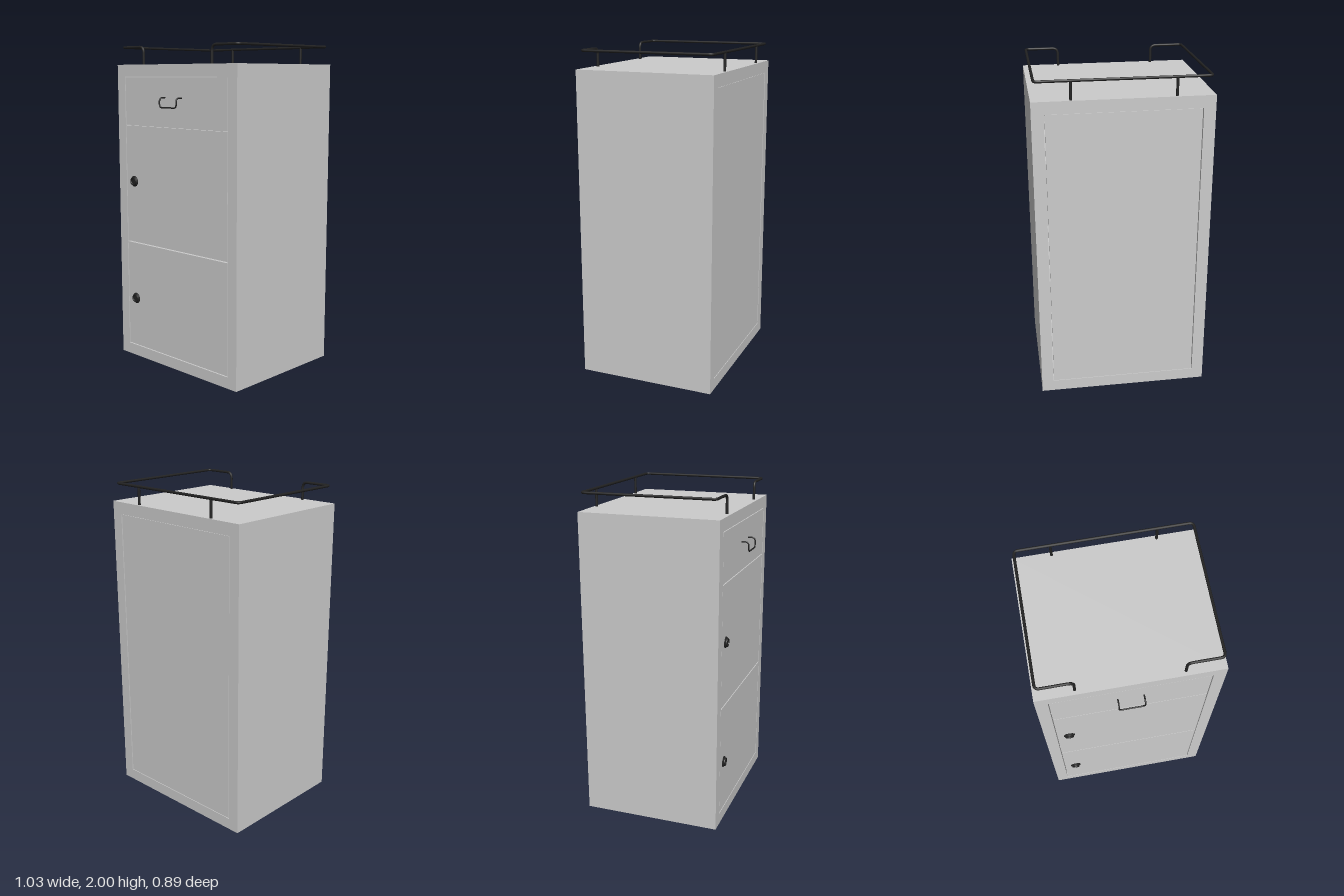
import * as THREE from 'three';

const V = (x, y, z) => new THREE.Vector3(x, y, z);
const grey = new THREE.MeshStandardMaterial({ color: 0xcccccc });
const dark = new THREE.MeshStandardMaterial({ color: 0x222222 });
const darkFlat = new THREE.MeshStandardMaterial({ color: 0x222222, flatShading: true });

function add(parent, name, geometry, material, x = 0, y = 0, z = 0) {
  const mesh = new THREE.Mesh(geometry, material);
  mesh.name = name;
  mesh.position.set(x, y, z);
  parent.add(mesh);
  return mesh;
}

// Round wire through corner points, each corner softened by its bend radius
function bentWire(points, bends, radius, segments) {
  const path = new THREE.CurvePath();
  let from = points[0];
  for (let i = 1; i < points.length - 1; i++) {
    const p = points[i], r = bends[i - 1];
    const a = p.clone().add(points[i - 1].clone().sub(p).setLength(r));
    const b = p.clone().add(points[i + 1].clone().sub(p).setLength(r));
    path.add(new THREE.LineCurve3(from, a));
    path.add(new THREE.QuadraticBezierCurve3(a, p, b));
    from = b;
  }
  path.add(new THREE.LineCurve3(from, points[points.length - 1]));
  return new THREE.TubeGeometry(path, segments, radius, 10);
}

export function createModel() {
  const model = new THREE.Group();
  model.name = 'bedsideCabinet';

  const W = 0.517, H = 1.885, BACK = -0.447, FRONT = 0.398;
  const inX = 0.447, inLow = 0.07, inHigh = 1.812, gap = 0.005;

  // Cabinet shell, open at front and back
  const outline = new THREE.Shape([
    new THREE.Vector2(-W, 0), new THREE.Vector2(W, 0),
    new THREE.Vector2(W, H), new THREE.Vector2(-W, H)]);
  outline.holes.push(new THREE.Path([
    new THREE.Vector2(-inX, inLow), new THREE.Vector2(-inX, inHigh),
    new THREE.Vector2(inX, inHigh), new THREE.Vector2(inX, inLow)]));
  add(model, 'cabinetShell',
    new THREE.ExtrudeGeometry(outline, { depth: FRONT - BACK, bevelEnabled: false }),
    grey, 0, 0, BACK);

  // Panels set into the openings with narrow gaps
  const panel = (name, low, high, z) => add(model, name,
    new THREE.BoxGeometry(2 * (inX - gap), high - low, 0.02), grey, 0, (low + high) / 2, z);
  panel('lowerDoor', inLow + gap, 0.756, FRONT - 0.011);
  panel('upperDoor', 0.764, 1.507, FRONT - 0.011);
  panel('drawerFront', 1.513, inHigh - gap, FRONT - 0.011);
  panel('backPanel', inLow + 0.002, inHigh - 0.002, BACK + 0.012);

  // Shelves closing off the inside behind the door gaps
  for (const y of [0.76, 1.51]) {
    add(model, 'shelf', new THREE.BoxGeometry(2 * inX, 0.02, 0.78), grey, 0, y, -0.03);
  }

  // Drawer handle
  const hx = 0.073, hz = 0.443;
  add(model, 'drawerHandle', bentWire([
    V(-hx, 1.688, FRONT), V(-hx, 1.688, hz), V(-hx, 1.63, hz),
    V(hx, 1.63, hz), V(hx, 1.688, hz), V(hx, 1.688, FRONT)],
  [0.025, 0.022, 0.022, 0.025], 0.0045, 100), dark);

  // Round door locks with a sunken slotted face
  const lockProfile = [[0.034, 0], [0.034, 0.003], [0.026, 0.009], [0.025, 0.015],
    [0.018, 0.015], [0.016, 0.011], [0, 0.011]].map(([r, h]) => new THREE.Vector2(r, h));
  for (const [name, y] of [['lowerLock', 0.39], ['upperLock', 1.155]]) {
    const lock = new THREE.Group();
    lock.name = name;
    lock.position.set(-0.37, y, FRONT);
    add(lock, 'lockBody', new THREE.LatheGeometry(lockProfile, 24), darkFlat).rotation.x = Math.PI / 2;
    add(lock, 'lockBar', new THREE.BoxGeometry(0.026, 0.005, 0.004), darkFlat, 0, 0, 0.012);
    model.add(lock);
  }

  // Top guard rail: one bent wire open at the front
  const railR = 0.008, railY = 2 - railR, rx = 0.496, rb = -0.43, rf = 0.37, px = 0.296;
  add(model, 'guardRail', bentWire([
    V(-px, H - 0.005, rf), V(-px, railY, rf), V(-rx, railY, rf), V(-rx, railY, rb),
    V(rx, railY, rb), V(rx, railY, rf), V(px, railY, rf), V(px, H - 0.005, rf)],
  [0.035, 0.025, 0.025, 0.025, 0.025, 0.035], railR, 500), dark);

  // Rear rail posts
  for (const side of [-1, 1]) {
    add(model, 'railPost', new THREE.CylinderGeometry(railR, railR, railY - H, 10),
      dark, side * px, (railY + H) / 2, rb);
  }

  return model;
}
